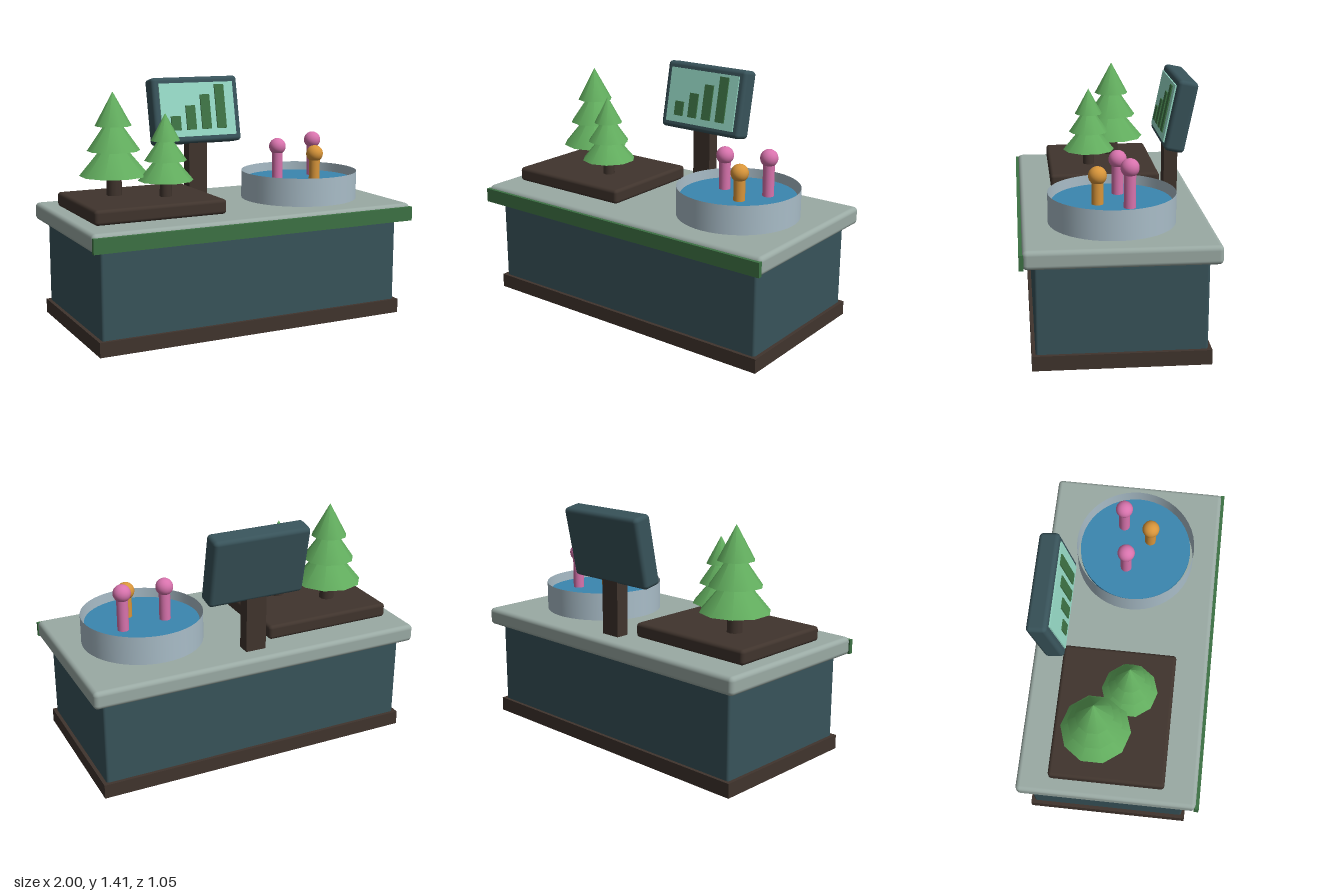
import * as THREE from 'three';
import { RoundedBoxGeometry } from 'three/addons/geometries/RoundedBoxGeometry.js';

function mat(name, color) {
  const m = new THREE.MeshStandardMaterial({ color });
  m.name = name;
  return m;
}

export function createModel() {
  const teal = mat('dark teal', 0x38535a);
  const stone = mat('counter grey', 0x9aaaa4);
  const brown = mat('dark brown', 0x40342d);
  const leaf = mat('leaf green', 0x62ad5e);
  const green = mat('deep green', 0x3d7244);
  const mint = mat('screen mint', 0x96dac6);
  const water = mat('water blue', 0x3b86b0);
  const basin = mat('basin blue grey', 0xa9bdc8);
  const pink = mat('pink', 0xd873ad);
  const orange = mat('orange', 0xd8953a);
  basin.side = THREE.DoubleSide;

  const model = new THREE.Group();
  model.name = 'displayCounter';

  const add = (parent, name, geometry, material, x, y, z) => {
    const mesh = new THREE.Mesh(geometry, material);
    mesh.name = name;
    mesh.position.set(x, y, z);
    parent.add(mesh);
    return mesh;
  };
  const box = (w, h, d) => new THREE.BoxGeometry(w, h, d);
  const rounded = (w, h, d, r) => new RoundedBoxGeometry(w, h, d, 3, r);

  // Counter: plinth, cabinet, worktop and front trim
  add(model, 'plinth', box(1.914, 0.083, 0.957), brown, 0, 0.0415, -0.008);
  add(model, 'cabinet', rounded(1.872, 0.579, 0.917, 0.015), teal, 0, 0.2905, -0.008);
  add(model, 'worktop', rounded(2, 0.104, 1.036, 0.026), stone, 0, 0.627, -0.008);
  add(model, 'frontTrim', box(2, 0.083, 0.025), green, 0, 0.619, 0.5155);

  // Planting bed with two conifers
  add(model, 'plantingBed', rounded(0.787, 0.085, 0.664, 0.02), brown, -0.522, 0.7215, -0.012);

  const addTree = (name, x, z, scale) => {
    const tree = new THREE.Group();
    tree.name = name;
    tree.position.set(x, 0.763, z);
    tree.scale.setScalar(scale);
    add(tree, 'trunk', new THREE.CylinderGeometry(0.042, 0.045, 0.17, 10), brown, 0, 0.08, 0);
    // Each tier: bottom height, radius, cone height
    [[0.117, 0.2, 0.24], [0.26, 0.153, 0.22], [0.402, 0.106, 0.195]].forEach(([y, r, h], i) => {
      add(tree, `foliageTier${i + 1}`, new THREE.ConeGeometry(r, h, 10), leaf, 0, y + h / 2, 0);
    });
    model.add(tree);
  };
  addTree('tallTree', -0.65, -0.096, 1);
  addTree('smallTree', -0.398, 0.07, 0.8);

  // Round pool: open wall and water
  const px = 0.518, pz = 0.01;
  add(model, 'poolWall', new THREE.CylinderGeometry(0.353, 0.353, 0.168, 48, 1, true), basin, px, 0.762, pz);
  add(model, 'poolWater', new THREE.CylinderGeometry(0.332, 0.332, 0.02, 48), water, px, 0.785, pz);

  // Pegs with round heads standing in the pool
  const addPeg = (name, x, z, headY, material) => {
    const peg = new THREE.Group();
    peg.name = name;
    const bottom = 0.78;
    add(peg, 'body', new THREE.CylinderGeometry(0.033, 0.033, headY - bottom, 20), material, x, (headY + bottom) / 2, z);
    add(peg, 'head', new THREE.SphereGeometry(0.051, 24, 16), material, x, headY, z);
    model.add(peg);
  };
  addPeg('pinkPegLeft', 0.663, -0.073, 1.015, pink);
  addPeg('pinkPegRight', 0.392, -0.034, 0.993, pink);
  addPeg('orangePeg', 0.58, 0.094, 0.953, orange);

  // Screen on a post, leaning back
  add(model, 'screenPost', box(0.122, 0.36, 0.079), brown, 0, 0.855, -0.382);
  const screen = new THREE.Group();
  screen.name = 'screen';
  screen.position.set(0, 1.198, -0.405);
  screen.rotation.x = -0.2;
  model.add(screen);
  add(screen, 'screenHousing', rounded(0.582, 0.41, 0.117, 0.024), teal, 0, 0, 0);
  add(screen, 'screenPane', box(0.5, 0.332, 0.009), mint, 0, 0, 0.0625);
  [0.088, 0.15, 0.215, 0.275].forEach((h, i) => {
    add(screen, `chartBar${i + 1}`, box(0.064, h, 0.008), green, -0.157 + i * 0.103, -0.125 + h / 2, 0.0705);
  });

  return model;
}
